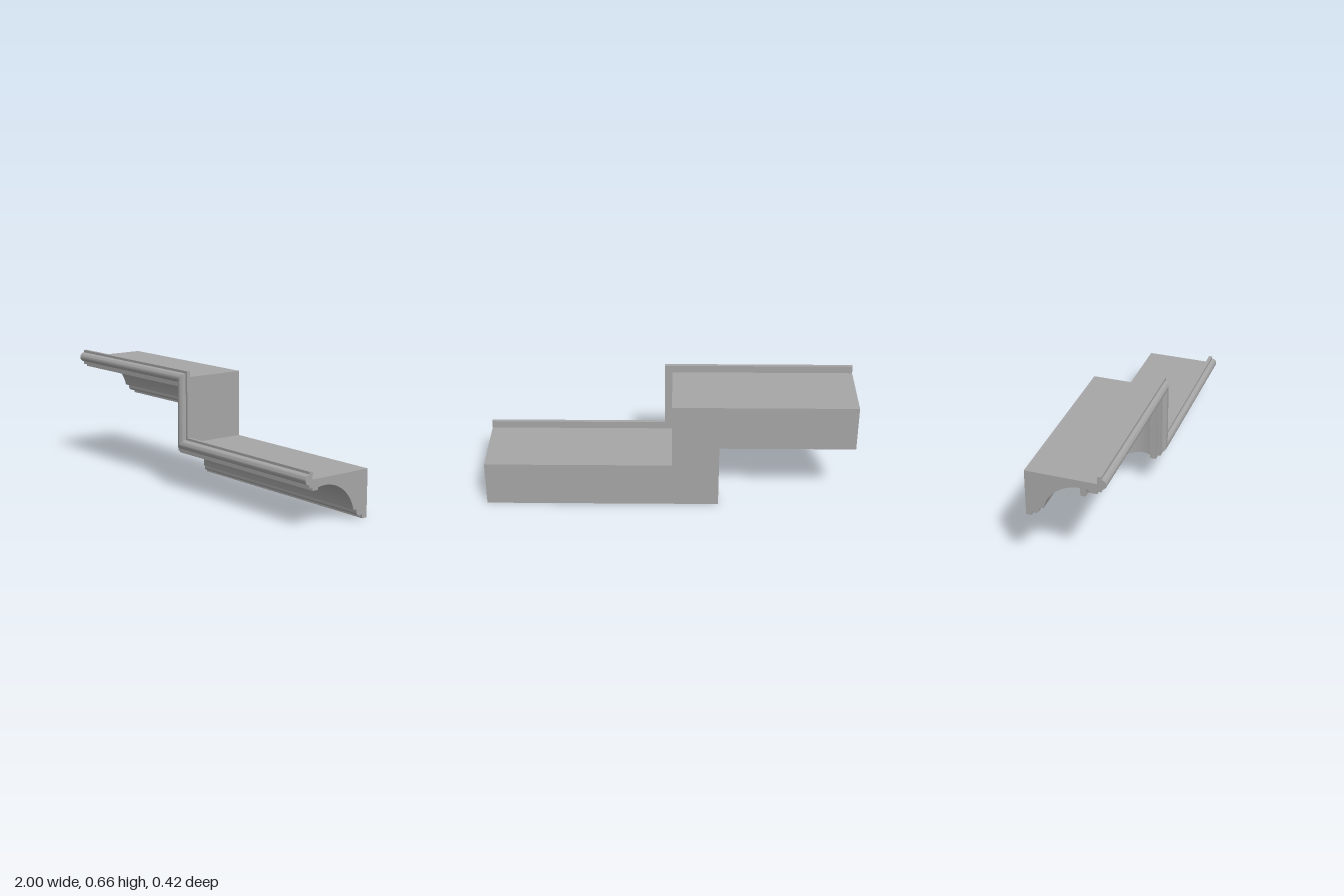
import * as THREE from 'three';
import { toCreasedNormals } from 'three/addons/utils/BufferGeometryUtils.js';

// Moulding cross-section: x of each point is depth (z), y is the offset across the run
function mouldingProfile() {
  const points = [];
  const line = (...pairs) => pairs.forEach(([z, v]) => points.push(new THREE.Vector2(z, v)));
  const arc = (cz, cv, r, from, to, steps) => {
    for (let i = 0; i <= steps; i++) {
      const a = from + (to - from) * i / steps;
      points.push(new THREE.Vector2(cz + r * Math.cos(a), cv + r * Math.sin(a)));
    }
  };
  line([-0.21, 0], [-0.18, 0]);                                   // wall fillet
  arc(-0.162, 0.04, 0.0225, Math.PI * 1.22, Math.PI * 2, 12);     // small bead
  line([-0.1395, 0.054]);
  arc(0.083, 0.009, 0.205, Math.PI - 0.222, Math.PI / 2 - 0.221, 28); // cove
  line([0.128, 0.197], [0.162, 0.197], [0.162, 0.212], [0.183, 0.212]); // steps
  arc(0.183, 0.255, 0.0265, -Math.PI / 2, Math.PI / 2, 16);       // front torus bead
  line([0.183, 0.295], [0.163, 0.295], [0.163, 0.254], [-0.21, 0.254]); // lip and top
  return points;
}

// Sweep the profile along the stepped run with mitred corners
function sweepMoulding(profile) {
  const stepX = -0.27, rise = 0.365;
  const stations = [
    v => [-1, rise + v],
    v => [stepX + v, rise + v],
    v => [stepX + v, v],
    v => [1, v],
  ];
  const n = profile.length;
  const positions = [], index = [];
  for (const station of stations) {
    for (const p of profile) positions.push(...station(p.y), p.x);
  }
  for (let s = 0; s < stations.length - 1; s++) {
    for (let i = 0; i < n; i++) {
      const j = (i + 1) % n;
      const a = s * n + i, b = s * n + j, c = a + n, d = b + n;
      index.push(a, d, b, a, c, d);
    }
  }
  // End caps
  const last = (stations.length - 1) * n;
  for (const [a, b, c] of THREE.ShapeUtils.triangulateShape(profile, [])) {
    index.push(a, b, c, last + a, last + c, last + b);
  }
  const geometry = new THREE.BufferGeometry();
  geometry.setAttribute('position', new THREE.Float32BufferAttribute(positions, 3));
  geometry.setIndex(index);
  return toCreasedNormals(geometry, 0.5);
}

export function createModel() {
  const group = new THREE.Group();
  group.name = 'steppedCornice';
  const plaster = new THREE.MeshStandardMaterial({ color: 0xa6a6a6 });
  plaster.name = 'grey plaster';
  const moulding = new THREE.Mesh(sweepMoulding(mouldingProfile()), plaster);
  moulding.name = 'corniceMoulding';
  group.add(moulding);
  return group;
}
